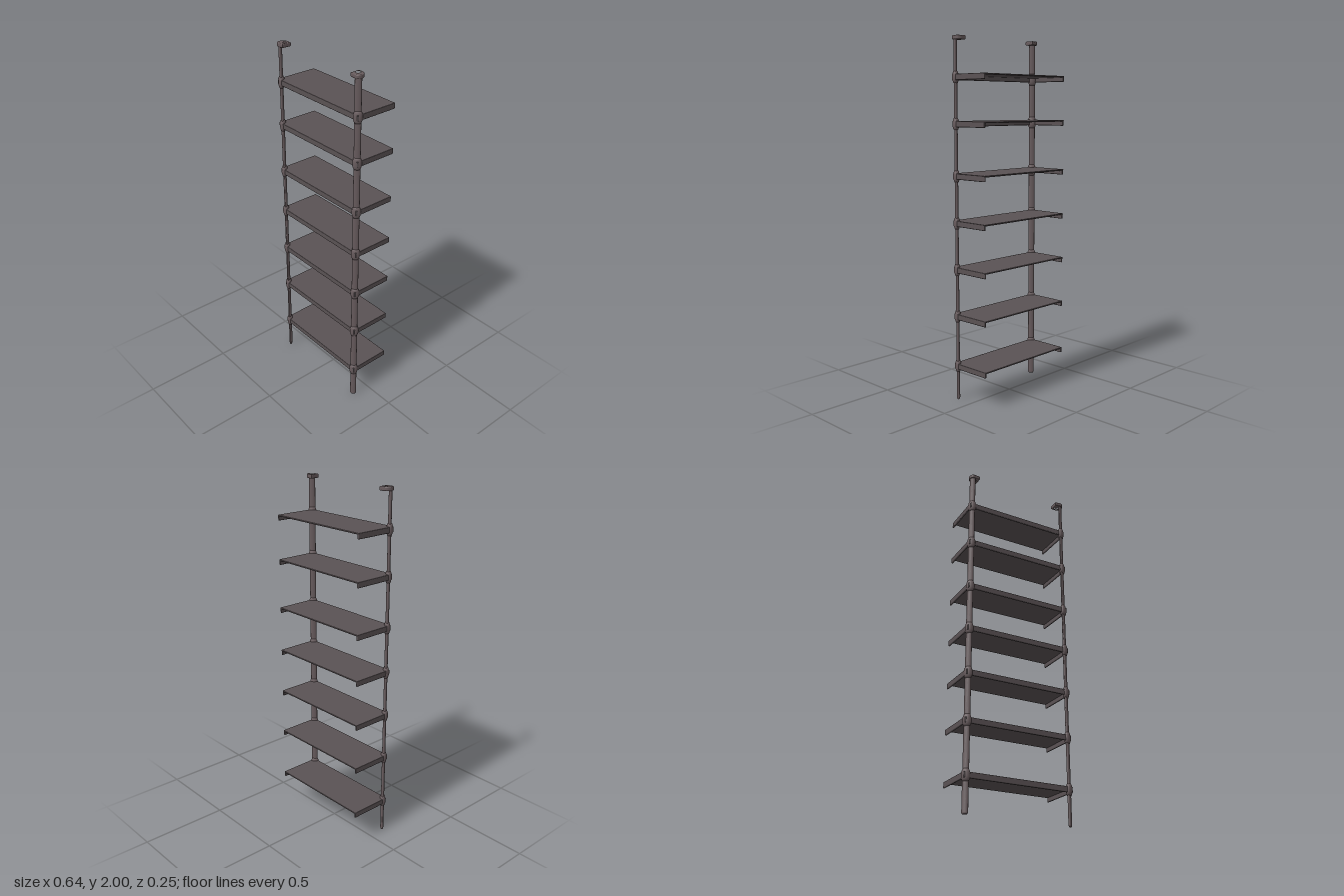
import * as THREE from 'three';
import { RoundedBoxGeometry } from 'three/addons/geometries/RoundedBoxGeometry.js';

const shelfGrey = new THREE.MeshStandardMaterial({ color: 0x5a5254 });
shelfGrey.name = 'shelf grey';
const postBrown = new THREE.MeshStandardMaterial({ color: 0x675b5d });
postBrown.name = 'post brown grey';

const SHELF_HEIGHTS = [0.193, 0.477, 0.74, 0.998, 1.255, 1.535, 1.783];
const POST_X = 0.302, POST_Z = 0.105;

function add(parent, name, geometry, material, x = 0, y = 0, z = 0) {
  const mesh = new THREE.Mesh(geometry, material);
  mesh.name = name;
  mesh.position.set(x, y, z);
  parent.add(mesh);
  return mesh;
}

// Upright post profile with softly rounded ends
function postGeometry() {
  const p = [[0, 0], [0.75, 0], [1, 0.008], [1, 1.984], [0.75, 1.99], [0, 1.99]];
  return new THREE.LatheGeometry(p.map(([r, y]) => new THREE.Vector2(r * 0.0175, y)), 24);
}

// Swollen collar where a shelf meets a post
function collarGeometry() {
  const p = [[0, -0.032], [0.016, -0.032], [0.021, -0.022], [0.0235, -0.01],
    [0.0235, 0.01], [0.021, 0.022], [0.016, 0.032], [0, 0.032]];
  return new THREE.LatheGeometry(p.map(([r, y]) => new THREE.Vector2(r, y)), 24);
}

// Ceiling tab: rounded on the outer side, squared inward, with a screw hole
function tabGeometry(side) {
  const s = new THREE.Shape();
  s.moveTo(side * 0.266, -0.07);
  s.lineTo(side * 0.292, -0.07);
  s.quadraticCurveTo(side * 0.314, -0.074, side * 0.315, -0.098);
  s.quadraticCurveTo(side * 0.314, -0.119, side * 0.296, -0.119);
  s.lineTo(side * 0.266, -0.116);
  s.closePath();
  const hole = new THREE.Path();
  hole.absarc(side * 0.283, -0.091, 0.013, 0, Math.PI * 2, true);
  s.holes.push(hole);
  const g = new THREE.ExtrudeGeometry(s, {
    depth: 0.012, bevelEnabled: true, bevelThickness: 0.005, bevelSize: 0.004,
    bevelSegments: 3, curveSegments: 12,
  });
  return g.rotateX(-Math.PI / 2);
}

// Tray shelf: thin top with front and side lips, open at the back and below
function makeShelf(y) {
  const shelf = new THREE.Group();
  shelf.name = 'shelf';
  shelf.position.y = y;
  add(shelf, 'shelfTop', new RoundedBoxGeometry(0.636, 0.008, 0.246, 2, 0.003),
    shelfGrey, 0, 0.012, -0.005);
  add(shelf, 'frontLip', new RoundedBoxGeometry(0.636, 0.032, 0.012, 3, 0.005),
    shelfGrey, 0, 0, 0.112);
  for (const side of [-1, 1]) {
    add(shelf, 'sideLip', new RoundedBoxGeometry(0.01, 0.032, 0.246, 3, 0.0045),
      shelfGrey, side * 0.313, 0, -0.005);
  }
  return shelf;
}

export function createModel() {
  const model = new THREE.Group();
  model.name = 'ladderShelf';

  for (const y of SHELF_HEIGHTS) model.add(makeShelf(y));

  for (const side of [-1, 1]) {
    const upright = new THREE.Group();
    upright.name = side > 0 ? 'leftUpright' : 'rightUpright';

    // Flattened post, its wide axis turned diagonally
    const post = add(upright, 'post', postGeometry(), postBrown, side * POST_X, 0, POST_Z);
    post.scale.z = 0.52;
    post.rotation.y = side * Math.PI / 4;

    for (const y of SHELF_HEIGHTS) {
      const collar = add(upright, 'collar', collarGeometry(), postBrown, side * POST_X, y, POST_Z);
      collar.scale.z = 0.7;
      collar.rotation.y = side * Math.PI / 4;
    }

    add(upright, 'ceilingTab', tabGeometry(side), postBrown, 0, 1.983, 0);
    add(upright, 'screwHead', new THREE.CylinderGeometry(0.009, 0.009, 0.012, 16),
      postBrown, side * 0.283, 1.986, 0.091);
    model.add(upright);
  }
  return model;
}
